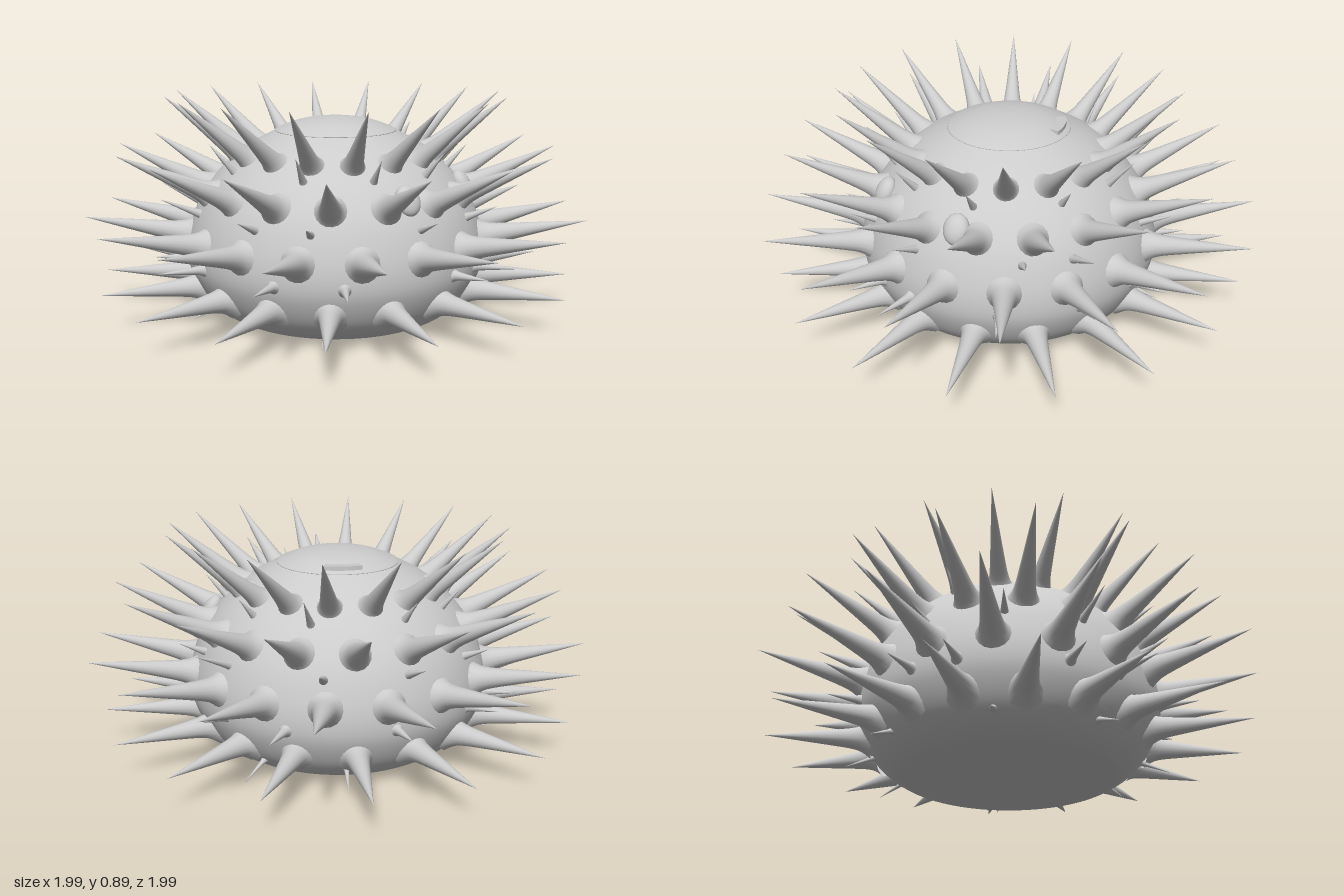
import * as THREE from 'three';

const grey = new THREE.MeshStandardMaterial({ color: 0xcccccc, side: THREE.DoubleSide });
const UP = new THREE.Vector3(0, 1, 0);

// Smooth lathe from a few profile points [radius, height]
function lathe(points, steps, sides) {
  const curve = new THREE.SplineCurve(points.map(([r, y]) => new THREE.Vector2(r, y)));
  const pts = curve.getPoints(steps).map((p) => new THREE.Vector2(Math.max(p.x, 0), p.y));
  return new THREE.LatheGeometry(pts, sides);
}

function add(parent, geometry, name) {
  const mesh = new THREE.Mesh(geometry, grey);
  mesh.name = name;
  parent.add(mesh);
  return mesh;
}

// Point on a ring: angle in degrees, measured from +x towards +z
function polar(deg, r, y) {
  const a = THREE.MathUtils.degToRad(deg);
  return new THREE.Vector3(r * Math.cos(a), y, r * Math.sin(a));
}

// Flared, slightly concave spine of unit length and unit base radius
const spineShape = lathe(
  [[1.25, 0], [0.88, 0.08], [0.66, 0.18], [0.47, 0.4], [0.24, 0.7], [0, 1]], 14, 16);

function addSpine(parent, from, to, radius, name) {
  const dir = to.clone().sub(from);
  const length = dir.length();
  const spine = add(parent, spineShape, name);
  spine.position.copy(from);
  spine.scale.set(radius, length, radius);
  spine.quaternion.setFromUnitVectors(UP, dir.normalize());
}

export function createModel() {
  const model = new THREE.Group();
  model.name = 'spinyShell';

  // Body: flat base, bulging sides, domed shoulder
  add(model, lathe([
    [0, 0.004], [0.2, 0.002], [0.38, 0], [0.46, 0.025], [0.535, 0.09], [0.585, 0.18], [0.602, 0.26],
    [0.59, 0.36], [0.545, 0.48], [0.465, 0.59], [0.36, 0.68], [0.24, 0.745],
  ], 60, 64), 'body');

  // Cap closing the top of the body
  add(model, lathe([[0.24, 0.742], [0.238, 0.75], [0.16, 0.78], [0.08, 0.795], [0, 0.8]], 20, 64), 'topCap');

  // Small curved tab on the cap
  const tab = new THREE.Shape();
  tab.absarc(0, 0, 0.225, 0.3, 0.98, false);
  tab.absarc(0, 0, 0.185, 0.98, 0.3, true);
  tab.closePath();
  const tabGeometry = new THREE.ExtrudeGeometry(tab, { depth: 0.035, bevelEnabled: false, curveSegments: 12 });
  tabGeometry.rotateX(-Math.PI / 2);
  add(model, tabGeometry, 'capTab').position.y = 0.737;

  // Four staggered rings of long spines, sixteen to a ring
  const rings = [
    { name: 'lowerSpine', phase: 6.65, from: [0.54, 0.15], to: [0.955, 0.15], radius: 0.062 },
    { name: 'middleSpine', phase: -4.6, from: [0.57, 0.335], to: [1.0, 0.42], radius: 0.064 },
    { name: 'upperSpine', phase: 6.65, from: [0.5, 0.505], to: [0.88, 0.685], radius: 0.06 },
    { name: 'crownSpine', phase: -4.6, from: [0.365, 0.635], to: [0.68, 0.89], radius: 0.054 },
  ];
  for (const { name, phase, from, to, radius } of rings) {
    const ring = new THREE.Group();
    ring.name = name + 'Ring';
    for (let i = 0; i < 16; i++) {
      const deg = phase + i * 22.5;
      addSpine(ring, polar(deg, ...from), polar(deg, ...to), radius, name);
    }
    model.add(ring);
  }

  // Short spines scattered in the gaps between the rings
  let seed = 7;
  const random = () => (seed = (seed * 16807) % 2147483647) / 2147483647;
  const shortSpines = new THREE.Group();
  shortSpines.name = 'shortSpines';
  const gaps = [
    { count: 8, from: [0.52, 0.085], to: [0.64, 0.045], radius: 0.014 },
    { count: 12, from: [0.59, 0.25], to: [0.77, 0.26], radius: 0.025 },
    { count: 11, from: [0.54, 0.43], to: [0.7, 0.5], radius: 0.024 },
    { count: 10, from: [0.43, 0.59], to: [0.54, 0.71], radius: 0.022 },
  ];
  for (const { count, from, to, radius } of gaps) {
    for (let i = 0; i < count; i++) {
      const deg = ((i + 0.6 * random()) * 360) / count;
      const stretch = 0.65 + 0.5 * random();
      const base = polar(deg, ...from);
      const tip = polar(deg, ...to).sub(base).multiplyScalar(stretch).add(base);
      addSpine(shortSpines, base, tip, radius, 'shortSpine');
    }
  }
  model.add(shortSpines);

  // Two oval eyes on the front
  for (const [x, name] of [[-0.165, 'rightEye'], [0.25, 'leftEye']]) {
    const eye = add(model, new THREE.SphereGeometry(1, 24, 16), name);
    eye.scale.set(0.05, 0.06, 0.035);
    eye.position.set(x, 0.54, Math.sqrt(0.51 * 0.51 - x * x));
    eye.rotation.set(-0.5, Math.atan2(x, eye.position.z), 0, 'YXZ');
  }

  return model;
}
